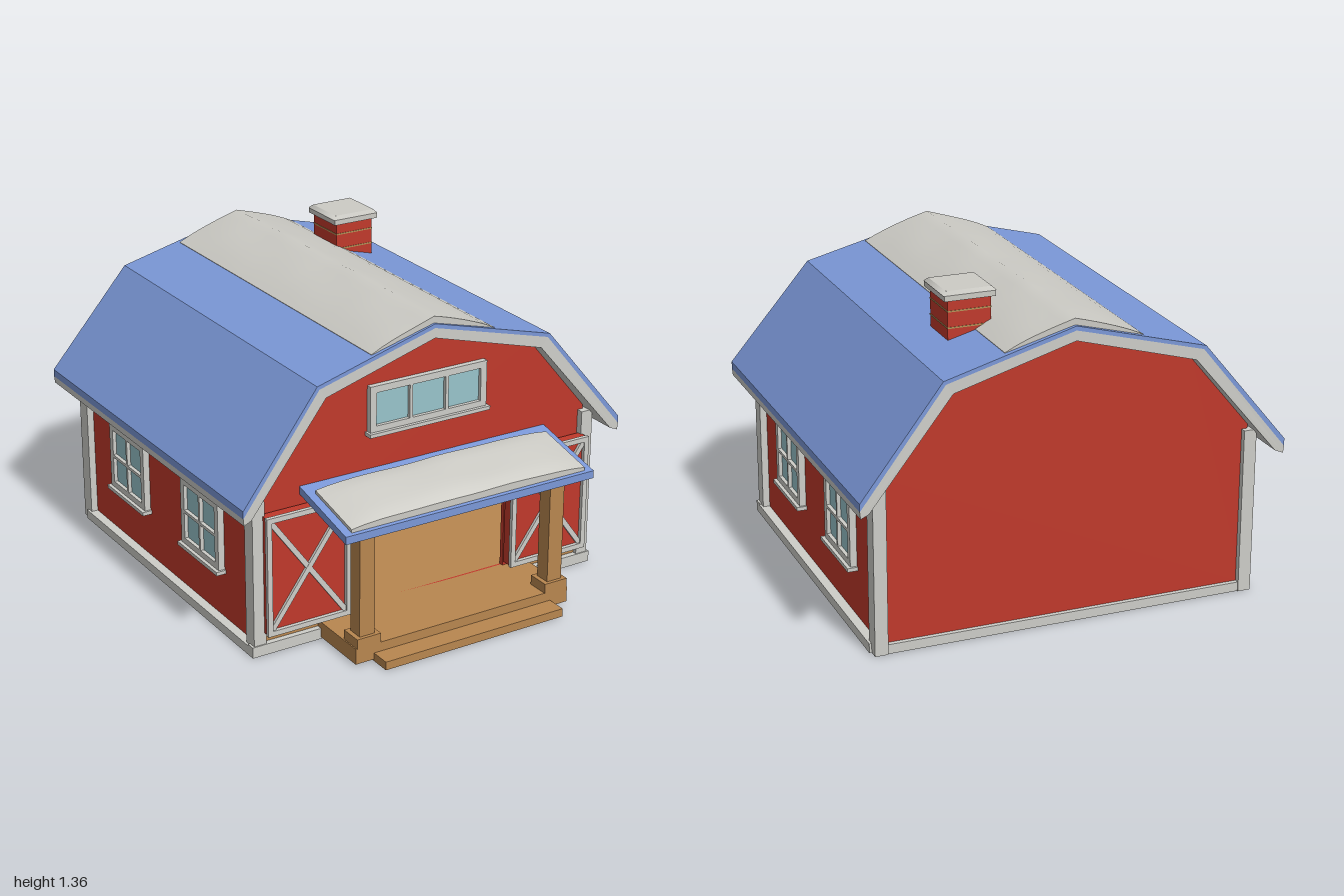
import * as THREE from 'three';
import { toCreasedNormals } from 'three/addons/utils/BufferGeometryUtils.js';

const mat = (name, color) => Object.assign(new THREE.MeshStandardMaterial({ color }), { name });

export function createModel() {
  const red = mat('barn red', 0xc0392b);
  const white = mat('trim white', 0xcdcdc8);
  const blue = mat('roof blue', 0x7b98d8);
  const wood = mat('wood brown', 0xb8864f);
  const glass = mat('window glass', 0x98c4cb);
  const snow = mat('snow', 0xcccbc5);
  const tan = mat('tan', 0xb8955a);

  const model = new THREE.Group();
  model.name = 'barn';

  const add = (name, geo, material, parent = model) => {
    const m = new THREE.Mesh(geo, material);
    m.name = name;
    parent.add(m);
    return m;
  };
  // Box given by its minimum and maximum corners
  const box = (name, material, x0, x1, y0, y1, z0, z1, parent) => {
    const m = add(name, new THREE.BoxGeometry(x1 - x0, y1 - y0, z1 - z0), material, parent);
    m.position.set((x0 + x1) / 2, (y0 + y1) / 2, (z0 + z1) / 2);
    return m;
  };
  const toPts = (list) => list.map(([x, y]) => new THREE.Vector2(x, y));
  const rect = (x0, x1, y0, y1) => toPts([[x0, y0], [x1, y0], [x1, y1], [x0, y1]]);
  const extrude = (pts, depth, holes = []) => {
    const s = new THREE.Shape(pts);
    holes.forEach((h) => s.holes.push(new THREE.Path(h)));
    return new THREE.ExtrudeGeometry(s, { depth, bevelEnabled: false });
  };

  // Walls
  const gable = (y0) => toPts([[-0.79, y0], [0.79, y0], [0.79, 0.74], [0.52, 1.08], [0, 1.22], [-0.52, 1.08], [-0.79, 0.74]]);
  const front = add('frontWall', extrude(gable(0.07), 0.02, [rect(-0.4, 0.4, 0.075, 0.6)]), red);
  front.position.z = 0.59;
  const back = add('backWall', extrude(gable(0.03), 0.02), red);
  back.position.z = -0.89;
  for (const s of [-1, 1]) {
    const a = s * 0.77, b = s * 0.79;
    box('sideWall', red, Math.min(a, b), Math.max(a, b), 0.03, 0.73, -0.88, 0.6);
  }
  box('floor', wood, -0.785, 0.785, 0, 0.075, -0.885, 0.62);

  // Low frames along the rear of the room
  for (let k = -2; k <= 3; k++) {
    const c = -0.165 + 0.217 * k;
    const arch = toPts([[-0.095, 0.07], [-0.08, 0.07], [-0.08, 0.145], [0.08, 0.145], [0.08, 0.07], [0.095, 0.07], [0.095, 0.155], [-0.095, 0.155]]);
    add('lowFrame', extrude(arch, 0.02), tan).position.set(c, 0, -0.868);
  }

  // Corner posts and base boards
  for (const s of [-1, 1]) {
    const span = (a, b) => (s > 0 ? [a, b] : [-b, -a]);
    box('frontCornerPost', white, ...span(0.765, 0.82), 0, 0.71, 0.575, 0.64);
    box('backCornerPost', white, ...span(0.765, 0.82), 0, 0.71, -0.915, -0.845);
    box('sideBaseBoard', white, ...span(0.785, 0.83), 0, 0.04, -0.875, 0.645);
    box('frontBaseBoard', white, ...span(0.51, 0.83), 0, 0.047, 0.605, 0.645);
  }
  box('backBaseBoard', white, -0.8, 0.8, 0, 0.04, -0.91, -0.88);

  // Gambrel roof: shells whose ends flare towards the eaves
  const shell = (name, outer, inner, material) => {
    const half = [...outer, ...inner.slice().reverse()];
    for (const s of [1, -1]) {
      const pts = half.map(([x, y]) => [x * s, y]);
      const geo = extrude(toPts(pts), 1);
      const p = geo.attributes.position;
      for (let i = 0; i < p.count; i++) {
        const x = Math.abs(p.getX(i));
        const flare = x < 0.55 ? x * 0.027 : 0.015 + (x - 0.55) * 0.0857;
        p.setZ(i, p.getZ(i) > 0.5 ? 0.67 + flare : -0.955 - flare);
      }
      geo.computeVertexNormals();
      add(name, geo, material);
    }
  };
  shell('roof', [[0, 1.265], [0.55, 1.12], [0.9, 0.69]], [[0, 1.247], [0.54, 1.106], [0.9, 0.658]], blue);
  shell('roofTrim', [[0, 1.247], [0.54, 1.106], [0.9, 0.658], [0.897, 0.628]], [[0, 1.205], [0.51, 1.065], [0.862, 0.642]], white);

  // Snow patches: boxes whose upper side swells above the surface below
  const snowPatch = (name, w, d, zc, sx, sz, base, thick) => {
    const geo = new THREE.BoxGeometry(w, 1, d, sx, 1, sz);
    const p = geo.attributes.position;
    for (let i = 0; i < p.count; i++) {
      const x = p.getX(i), z = p.getZ(i) + zc, top = p.getY(i) > 0;
      const u = Math.abs(2 * x / w), v = Math.abs(2 * p.getZ(i) / d);
      const wave = 0.002 * Math.sin(x * 17 + z * 11) + 0.002 * Math.sin(z * 23 - x * 9);
      p.setXYZ(i, x, base(x, z) + (top ? thick(u, v) + wave * (1 - u) : -0.006), z);
    }
    geo.computeVertexNormals();
    add(name, toCreasedNormals(geo, 0.6), snow);
  };
  snowPatch('roofSnow', 0.58, 1.6, -0.14, 12, 16,
    (x) => 1.265 - Math.abs(x) * 0.264,
    (u, v) => 0.002 + (0.032 - 0.008 * v ** 6) * (1 - u ** 3));

  // Chimney with mortar lines and a snowy cap
  box('chimney', red, 0.225, 0.405, 1.1, 1.325, -0.64, -0.45);
  for (const y of [1.208, 1.275]) box('mortarLine', tan, 0.223, 0.407, y - 0.003, y + 0.003, -0.642, -0.448);
  box('chimneyCap', snow, 0.21, 0.425, 1.322, 1.345, -0.658, -0.437);
  const capTop = add('chimneyCapTop', new THREE.CylinderGeometry(0.135, 0.156, 0.015, 4).rotateY(Math.PI / 4), snow);
  capTop.position.set(0.3175, 1.3525, -0.5475);

  // Porch
  box('porchDeck', wood, -0.515, 0.515, 0.008, 0.076, 0.6, 0.912);
  box('porchStep', wood, -0.43, 0.43, 0, 0.036, 0.9, 1);
  for (const s of [-1, 1]) {
    const c = s * 0.455;
    box('porchPost', wood, c - 0.035, c + 0.035, 0.07, 0.6, 0.83, 0.9);
    box('porchPostBase', wood, c - 0.055, c + 0.055, 0.076, 0.118, 0.815, 0.915);
    box('porchPostCap', wood, c - 0.042, c + 0.042, 0.567, 0.592, 0.822, 0.908);
  }
  // The profile is drawn in z and y, then turned so that it runs along x
  const porchRoof = add('porchRoof',
    extrude(toPts([[-0.96, 0.572], [-0.61, 0.649], [-0.61, 0.682], [-0.96, 0.605]]), 1.18), blue);
  porchRoof.rotation.y = Math.PI / 2;
  porchRoof.position.x = -0.59;
  snowPatch('porchSnow', 1.11, 0.27, 0.81, 18, 8,
    (x, z) => 0.605 + 0.22 * (0.96 - z),
    (u, v) => 0.014 + 0.03 * (1 - u ** 6) * (1 - 0.5 * v ** 4));

  // Open barn doors with cross braces
  for (const s of [-1, 1]) {
    const door = new THREE.Group();
    door.name = 'barnDoor';
    door.position.set(s * 0.585, 0.353, 0.62);
    model.add(door);
    box('doorPanel', red, -0.188, 0.188, -0.255, 0.255, 0, 0.044, door);
    add('doorFrame', extrude(rect(-0.192, 0.192, -0.258, 0.258), 0.018,
      [rect(-0.17, 0.17, -0.236, 0.236)]), white, door).position.z = 0.043;
    for (const t of [-1, 1]) {
      const brace = add('doorBrace', new THREE.BoxGeometry(0.575, 0.022, 0.013), white, door);
      brace.position.z = 0.049 + t * 0.0005;
      brace.rotation.z = t * Math.atan2(0.47, 0.34);
    }
  }

  // Windows: a pierced frame, recessed panes and a sill, facing +z
  const makeWindow = (name, w, h, cols, rows, rim, bar) => {
    const g = new THREE.Group();
    g.name = name;
    const pw = (w - 2 * rim - (cols - 1) * bar) / cols;
    const ph = (h - 2 * rim - (rows - 1) * bar) / rows;
    const holes = [];
    for (let i = 0; i < cols; i++) for (let j = 0; j < rows; j++) {
      const x = -w / 2 + rim + i * (pw + bar), y = -h / 2 + rim + j * (ph + bar);
      holes.push(rect(x, x + pw, y, y + ph));
    }
    add('windowFrame', extrude(rect(-w / 2, w / 2, -h / 2, h / 2), 0.03, holes), white, g);
    box('windowGlass', glass, -w / 2 + 0.01, w / 2 - 0.01, -h / 2 + 0.01, h / 2 - 0.01, 0.005, 0.014, g);
    box('windowSill', white, -w / 2 - 0.01, w / 2 + 0.01, -h / 2 - 0.012, -h / 2 + 0.004, 0, 0.045, g);
    model.add(g);
    return g;
  };
  makeWindow('loftWindow', 0.555, 0.2, 3, 1, 0.029, 0.014).position.set(0, 0.942, 0.605);
  for (const s of [-1, 1]) for (const z of [0.19, -0.467]) {
    const g = makeWindow('sideWindow', 0.32, 0.302, 2, 2, 0.03, 0.013);
    g.position.set(s * 0.788, 0.406, z);
    g.rotation.y = s * Math.PI / 2;
  }

  return model;
}
